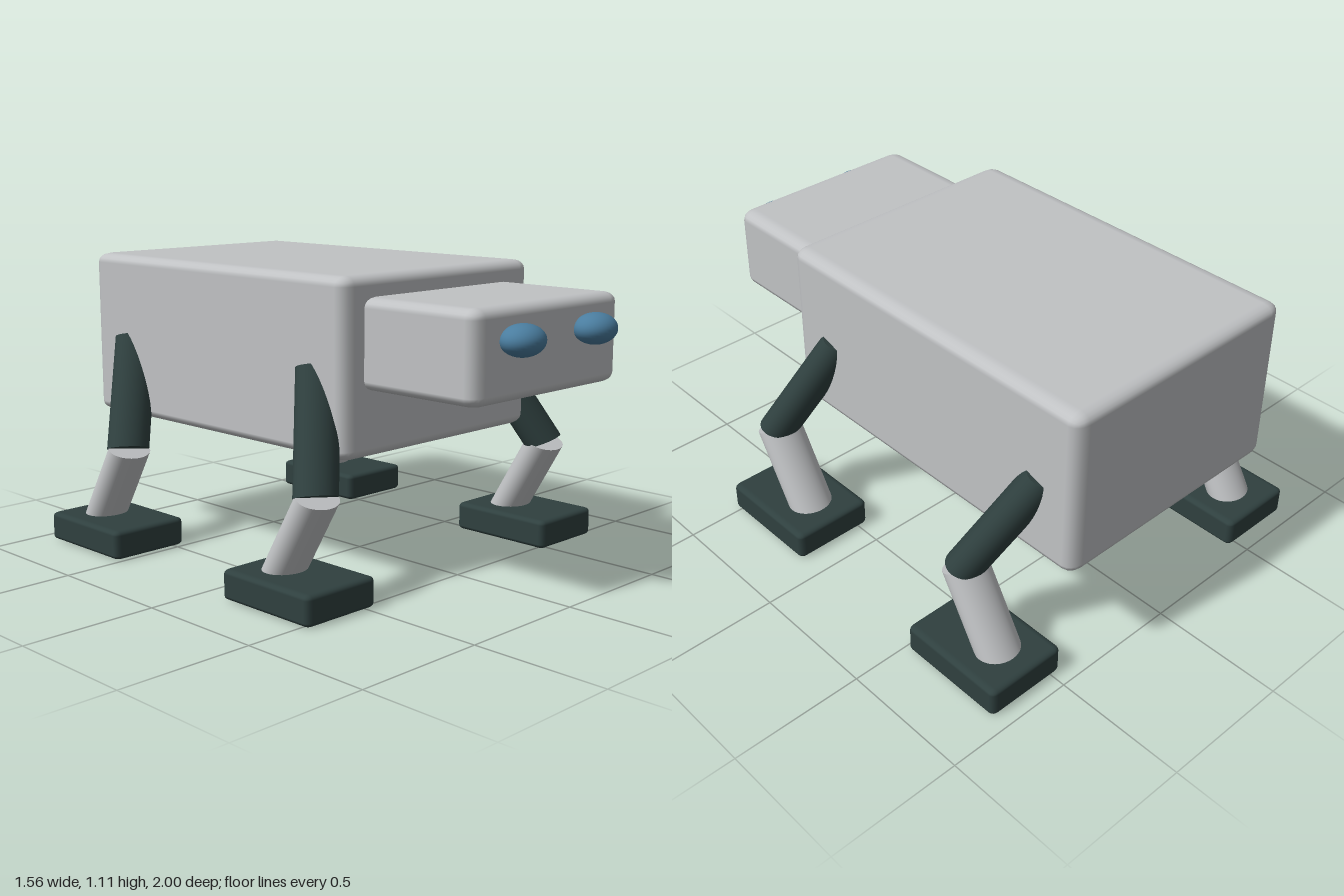
import * as THREE from 'three';
import { RoundedBoxGeometry } from 'three/addons/geometries/RoundedBoxGeometry.js';

const paint = (name, color) => {
  const m = new THREE.MeshStandardMaterial({ color });
  m.name = name;
  return m;
};

// Rounded parts are flattened by these factors
const SQUASH = new THREE.Vector3(1, 0.64, 0.79);

function add(parent, name, geometry, material, position = [0, 0, 0]) {
  const mesh = new THREE.Mesh(geometry, material);
  mesh.name = name;
  mesh.position.set(...position);
  parent.add(mesh);
  return mesh;
}

// Rounded box of the given final size, with squashed edge rounding
function block([w, h, d], radius) {
  return new RoundedBoxGeometry(w / SQUASH.x, h / SQUASH.y, d / SQUASH.z, 2, radius)
    .scale(SQUASH.x, SQUASH.y, SQUASH.z);
}

// Squashed cylinder running between two points
function limb(from, to, radius) {
  const a = new THREE.Vector3(...from).divide(SQUASH);
  const b = new THREE.Vector3(...to).divide(SQUASH);
  const axis = b.clone().sub(a);
  const mid = a.add(b).multiplyScalar(0.5);
  const turn = new THREE.Quaternion().setFromUnitVectors(new THREE.Vector3(0, 1, 0), axis.clone().normalize());
  return new THREE.CylinderGeometry(radius, radius, axis.length(), 32)
    .applyQuaternion(turn)
    .translate(mid.x, mid.y, mid.z)
    .scale(SQUASH.x, SQUASH.y, SQUASH.z);
}

export function createModel() {
  const model = new THREE.Group();
  model.name = 'robotAnimal';
  const grey = paint('light grey', 0xc0c2c4);
  const dark = paint('dark green grey', 0x2f403f);
  const blue = paint('eye blue', 0x4a7d9f);

  // Body and head
  add(model, 'body', block([0.99, 0.63, 1.41], 0.055), grey, [0, 0.795, -0.293]);
  add(model, 'head', block([0.79, 0.32, 0.62], 0.055), grey, [0, 0.875, 0.583]);

  for (const side of [1, -1]) {
    const label = side > 0 ? 'left' : 'right';

    // Eye
    add(model, label + 'Eye',
      new THREE.SphereGeometry(0.086, 32, 20).scale(SQUASH.x, SQUASH.y, SQUASH.z * 1.05),
      blue, [side * 0.198, 0.925, 0.929]);

    // Front and back legs
    for (const [end, z] of [['Front', 0], ['Back', -1.044]]) {
      const leg = new THREE.Group();
      leg.name = label + end + 'Leg';
      leg.position.z = z;
      model.add(leg);
      add(leg, 'upperLeg', limb([side * 0.617, 0.388, 0.405], [side * 0.43, 0.785, 0.222], 0.086), dark);
      add(leg, 'lowerLeg', limb([side * 0.617, 0.06, 0.22], [side * 0.617, 0.386, 0.414], 0.086), grey);
      add(leg, 'foot', block([0.32, 0.11, 0.43], 0.026), dark, [side * 0.618, 0.055, 0.317]);
    }
  }
  return model;
}
